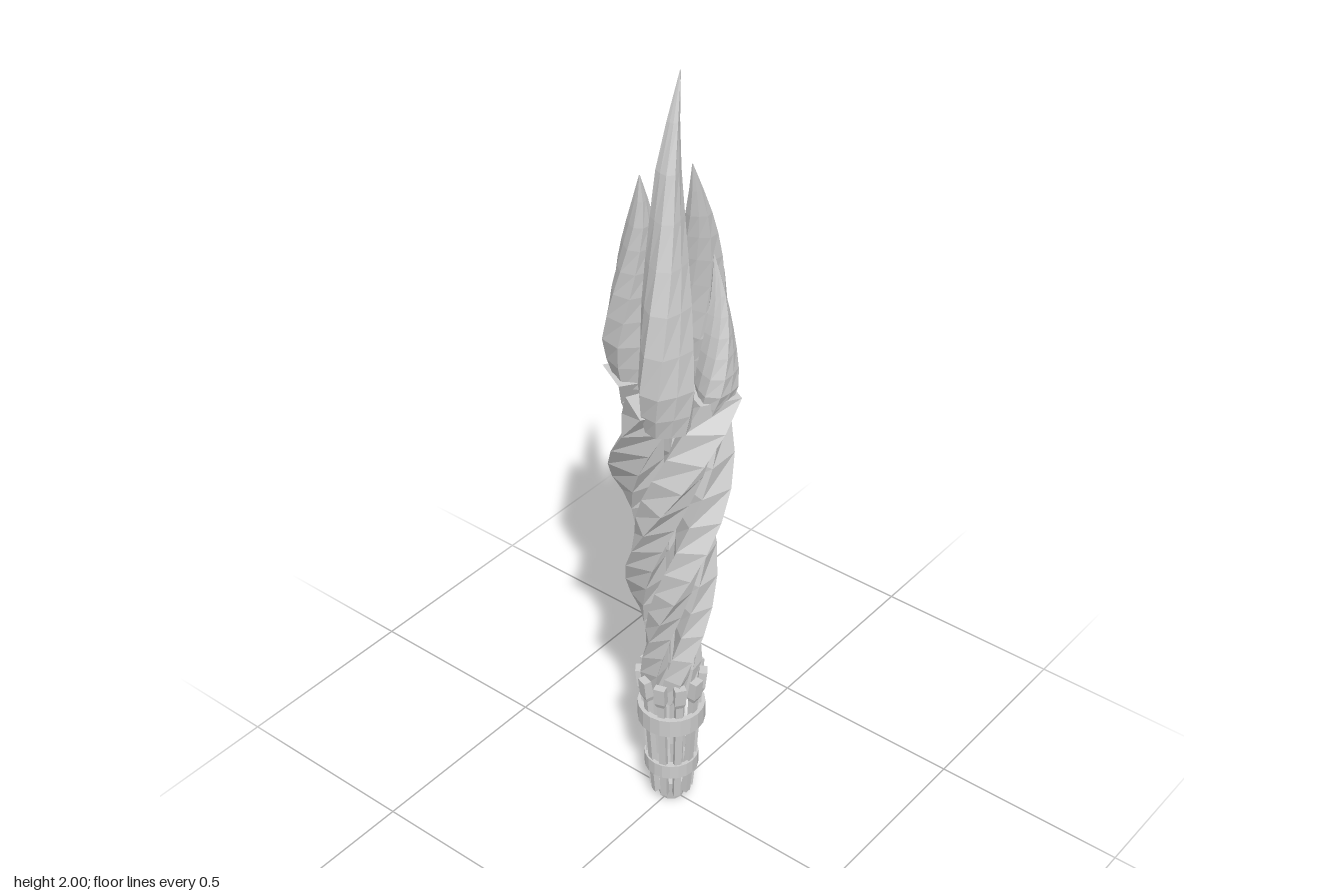
import * as THREE from 'three';

const material = new THREE.MeshStandardMaterial({ color: 0xcccccc, flatShading: true, side: THREE.DoubleSide });

// Skin a stack of equal-length loops (bottom to top) and cap both ends.
function loft(name, loops) {
  const n = loops[0].length;
  const positions = loops.flatMap((loop) => loop.flatMap((p) => [p.x, p.y, p.z]));
  const index = [];
  for (let k = 0; k < loops.length - 1; k++) {
    for (let i = 0; i < n; i++) {
      const a = k * n + i, b = k * n + (i + 1) % n;
      index.push(a, b, b + n, a, b + n, a + n);
    }
  }
  const top = (loops.length - 1) * n;
  for (let i = 1; i < n - 1; i++) index.push(0, i + 1, i, top, top + i, top + i + 1);
  const geometry = new THREE.BufferGeometry();
  geometry.setAttribute('position', new THREE.Float32BufferAttribute(positions, 3));
  geometry.setIndex(index);
  geometry.computeVertexNormals();
  const mesh = new THREE.Mesh(geometry, material);
  mesh.name = name;
  return mesh;
}

// Point at a radial and sideways distance from the axis, along the heading angle (0 = front, towards +x).
function polar(angle, radial, side, y) {
  const s = Math.sin(angle), c = Math.cos(angle);
  return new THREE.Vector3(radial * s + side * c, y, radial * c - side * s);
}

// Diamond-section strand winding round the axis and widening upwards.
function strand(startAngle) {
  const loops = [];
  const steps = 13;
  for (let k = 0; k <= steps; k++) {
    const y = 0.35 + 0.9 * k / steps;
    const angle = startAngle + (y - 0.87) / 0.325 * Math.PI / 2;
    const r = 0.095 + (y - 0.57) * 0.108;
    loops.push([[1, 0], [0.58, 0.4], [0.12, 0], [0.58, -0.4]]
      .map(([radial, side]) => polar(angle, radial * r, side * r, y)));
  }
  return loft('twistedStrand', loops);
}

// Fluted flame tongue along a curved spine; each stop is [x, y, z, radius].
function flame(name, stops, heading) {
  const spine = new THREE.CatmullRomCurve3(stops.map(([x, y, z]) => new THREE.Vector3(x, y, z)));
  const sides = 9, steps = 9, loops = [];
  for (let k = 0; k <= steps; k++) {
    const t = k / steps;
    const centre = spine.getPoint(t);
    const f = t * (stops.length - 1);
    const j = Math.min(Math.floor(f), stops.length - 2);
    const radius = THREE.MathUtils.lerp(stops[j][3], stops[j + 1][3], f - j);
    const loop = [];
    for (let i = 0; i < sides; i++) {
      const a = heading + i / sides * Math.PI * 2 + t * 1.3;
      const flute = i % 3 === 2 ? 0.86 : 1.03;
      loop.push(polar(a, radius * flute, 0, 0).add(centre));
    }
    loops.push(loop);
  }
  return loft(name, loops);
}

// Upright handle slat: inward foot, straight shaft and wider head.
function slat(angle) {
  const profile = [
    [0.03, 0.036, 0.054, 0.008], [0.1, 0.046, 0.06, 0.009], [0.345, 0.06, 0.076, 0.009],
    [0.36, 0.06, 0.083, 0.014], [0.41, 0.068, 0.088, 0.014],
  ];
  return loft('handleSlat', profile.map(([y, inner, outer, w]) =>
    [[outer, -w], [outer, w], [inner, w], [inner, -w]].map(([r, s]) => polar(angle, r, s, y))));
}

// Hollow band with thickness, holding the slats together.
function band(name, y, height, outer, inner) {
  const h = height / 2;
  const points = [[inner, -h], [outer, -h], [outer, h], [inner, h], [inner, -h]]
    .map(([r, v]) => new THREE.Vector2(r, v));
  const mesh = new THREE.Mesh(new THREE.LatheGeometry(points, 20), material);
  mesh.position.y = y;
  mesh.name = name;
  return mesh;
}

export function createModel() {
  const model = new THREE.Group();
  model.name = 'torch';

  // Handle cage
  const handle = new THREE.Group();
  handle.name = 'handle';
  const count = 10;
  for (let i = 0; i < count; i++) handle.add(slat(i / count * Math.PI * 2));
  handle.add(band('upperBand', 0.285, 0.05, 0.084, 0.07));
  handle.add(band('lowerBand', 0.125, 0.04, 0.068, 0.058));
  const foot = new THREE.Mesh(new THREE.CylinderGeometry(0.042, 0.032, 0.06, 10), material);
  foot.position.y = 0.03;
  foot.name = 'foot';
  handle.add(foot);
  model.add(handle);

  // Four twisted strands
  const shaft = new THREE.Group();
  shaft.name = 'shaft';
  for (let i = 0; i < 4; i++) shaft.add(strand(i * Math.PI / 2));
  model.add(shaft);

  // Flame tongues
  const fire = new THREE.Group();
  fire.name = 'fire';
  fire.add(flame('tallFlame', [
    [-0.09, 1.2, 0.06, 0.05], [-0.098, 1.3, 0.06, 0.068], [-0.09, 1.47, 0.055, 0.058],
    [-0.065, 1.64, 0.04, 0.042], [-0.038, 1.82, 0.025, 0.025], [0.01, 2.0, 0.015, 0.001]], 0));
  fire.add(flame('leftFlame', [
    [0.092, 1.24, 0, 0.056], [0.092, 1.35, 0.005, 0.074], [0.083, 1.47, 0.018, 0.062],
    [0.058, 1.59, 0.035, 0.044], [0.03, 1.69, 0.048, 0.026], [-0.006, 1.81, 0.06, 0.001]], 0.9));
  fire.add(flame('backFlame', [
    [-0.005, 1.23, -0.08, 0.06], [-0.018, 1.34, -0.088, 0.076], [-0.03, 1.46, -0.075, 0.065],
    [-0.042, 1.57, -0.058, 0.046], [-0.052, 1.67, -0.042, 0.028], [-0.068, 1.78, -0.03, 0.001]], 1.8));
  fire.add(flame('frontFlame', [
    [0.015, 1.2, 0.1, 0.034], [0.022, 1.28, 0.108, 0.05], [0.035, 1.38, 0.105, 0.036],
    [0.045, 1.48, 0.095, 0.02], [0.045, 1.58, 0.08, 0.001]], 0.4));
  model.add(fire);

  return model;
}
